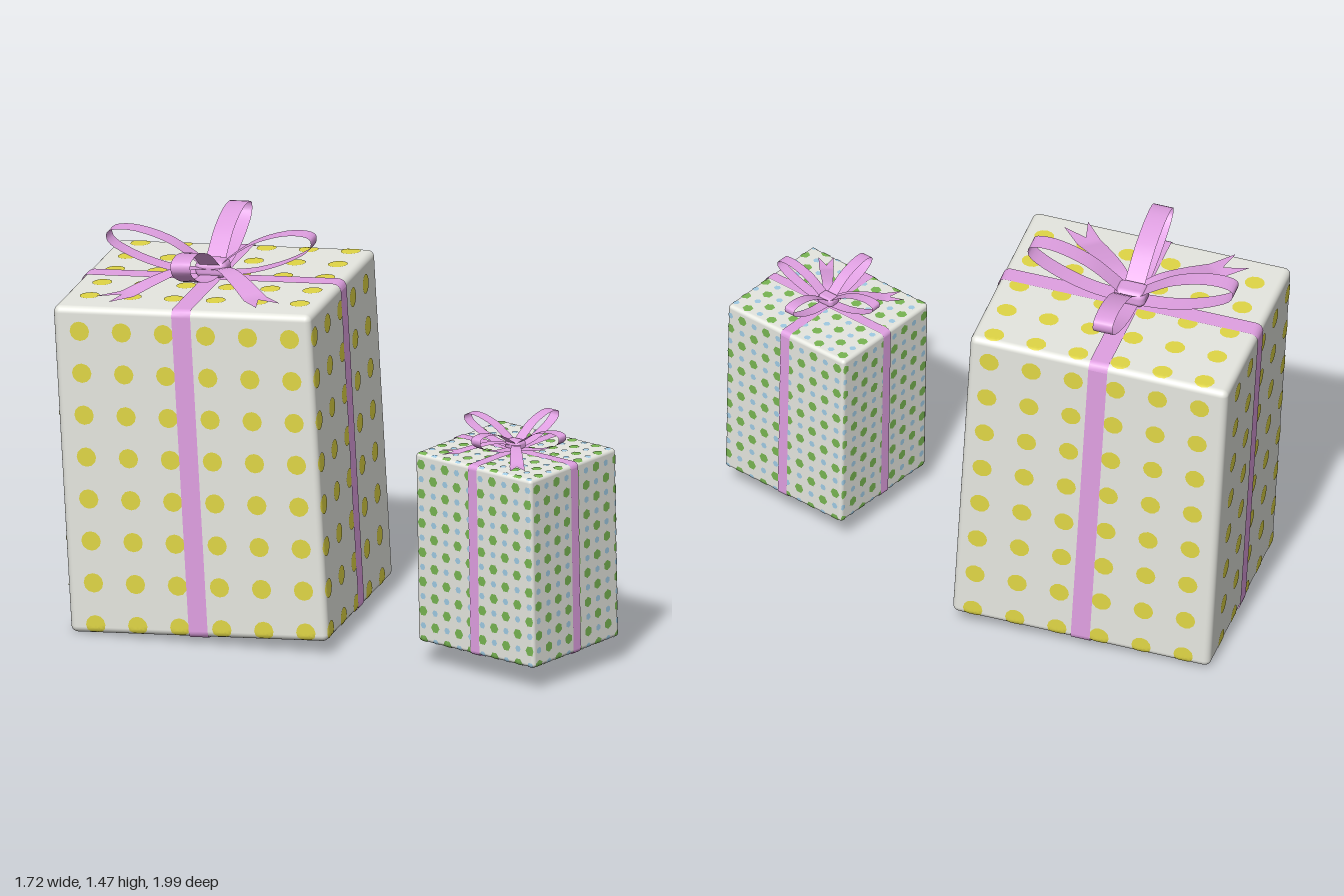
import * as THREE from 'three';
import { mergeGeometries } from 'three/addons/utils/BufferGeometryUtils.js';
import { RoundedBoxGeometry } from 'three/addons/geometries/RoundedBoxGeometry.js';

const material = (name, color, side = THREE.FrontSide) => {
  const m = new THREE.MeshStandardMaterial({ color, side });
  m.name = name;
  return m;
};

function addMesh(parent, name, geometry, mat) {
  const mesh = new THREE.Mesh(geometry, mat);
  mesh.name = name;
  parent.add(mesh);
  return mesh;
}

// Ribbon along a path in the XY plane, three vertices across its width (z).
// notch pulls the middle of the last row back, for a swallowtail end.
function strip(points, widthAt, notch = 0) {
  const pos = [], idx = [], n = points.length - 1;
  points.forEach((p, i) => {
    for (const s of [-1, 0, 1]) {
      const x = p.x - (i === n && s === 0 ? notch : 0);
      pos.push(x, p.y, s * widthAt(i / n) / 2);
    }
    if (i === n) return;
    for (let j = 0; j < 2; j++) {
      const a = i * 3 + j, b = a + 3;
      idx.push(a, b, a + 1, b, b + 1, a + 1);
    }
  });
  const g = new THREE.BufferGeometry();
  g.setAttribute('position', new THREE.Float32BufferAttribute(pos, 3));
  g.setIndex(idx);
  g.computeVertexNormals();
  return g;
}

const curve = (list, n) => new THREE.CatmullRomCurve3(
  list.map(([x, y]) => new THREE.Vector3(x, y, 0))).getPoints(n);

// Closed rounded rectangle path for a ribbon wrapped round the box
function wrapPath(w, h, r) {
  const pts = [];
  for (let c = 0; c < 4; c++) {
    const sx = c === 0 || c === 3 ? 1 : -1, sy = c < 2 ? 1 : -1;
    for (let i = 0; i <= 4; i++) {
      const a = (c + i / 4) * Math.PI / 2;
      pts.push(new THREE.Vector2(sx * (w / 2 - r) + r * Math.cos(a), sy * (h / 2 - r) + r * Math.sin(a)));
    }
  }
  pts.push(pts[0].clone());
  return pts;
}

// One painted dot, bent round the rounded edges of the box
function dot(half, r, axis, sign, centre, radius, sides) {
  const g = new THREE.RingGeometry(0, radius, sides, 3);
  const pos = g.attributes.position, nor = g.attributes.normal;
  const a = (axis + 1) % 3, b = (axis + 2) % 3;
  for (let i = 0; i < pos.count; i++) {
    const p = [0, 0, 0];
    p[axis] = sign * half[axis];
    p[a] = THREE.MathUtils.clamp(centre[a] + sign * pos.getX(i), -half[a], half[a]);
    p[b] = THREE.MathUtils.clamp(centre[b] + pos.getY(i), -half[b], half[b]);
    const q = p.map((v, k) => THREE.MathUtils.clamp(v, r - half[k], half[k] - r));
    const dir = new THREE.Vector3(...p).sub(new THREE.Vector3(...q)).normalize();
    nor.setXYZ(i, dir.x, dir.y, dir.z);
    pos.setXYZ(i, q[0] + dir.x * (r + 0.002), q[1] + dir.y * (r + 0.002), q[2] + dir.z * (r + 0.002));
  }
  return g;
}

// Grid of dots on all six faces; the kinds alternate like a chessboard
function addDots(parent, size, r, first, step, kinds) {
  const half = size.map(v => v / 2);
  const lists = kinds.map(() => []);
  const line = (k, flip) => {
    const out = [];
    for (let v = first[k]; v < size[k]; v += step) out.push(flip * (v - half[k]));
    return out;
  };
  for (let axis = 0; axis < 3; axis++) for (const sign of [-1, 1]) {
    const a = (axis + 1) % 3, b = (axis + 2) % 3;
    const flip = k => (k === 1 || (k === 2 && axis === 0) ? -1 : 1);
    line(a, flip(a)).forEach((u, i) => line(b, flip(b)).forEach((v, j) => {
      const c = [0, 0, 0], kind = (i + j) % kinds.length;
      c[a] = u;
      c[b] = v;
      lists[kind].push(dot(half, r, axis, sign, c, kinds[kind].radius, kinds[kind].sides));
    }));
  }
  kinds.forEach((k, i) => addMesh(parent, k.name, mergeGeometries(lists[i]), k.mat));
}

// Bow: four raised loops, two swallowtail ends and a knot
function makeBow(pink) {
  const bow = new THREE.Group();
  bow.name = 'bow';
  const loop = strip(curve([[0.02, 0.02], [0.16, 0.035], [0.31, 0.085], [0.385, 0.135], [0.385, 0.17],
    [0.31, 0.182], [0.17, 0.145], [0.08, 0.09], [0.02, 0.045]], 32), () => 0.075);
  for (let i = 0; i < 4; i++) addMesh(bow, 'bowLoop', loop, pink).rotation.y = i * Math.PI / 2;
  const path = curve([[0.02, 0.04], [0.12, 0.06], [0.24, 0.045], [0.37, 0.015]], 12);
  path.push(new THREE.Vector3(0.48, 0.018, 0));
  const tail = strip(path, t => 0.05 + 0.045 * t, 0.085);
  for (const s of [-1, 1]) addMesh(bow, 'bowTail', tail, pink).rotation.y = -Math.PI / 2 + s * 0.72;
  addMesh(bow, 'bowKnot', new RoundedBoxGeometry(0.12, 0.065, 0.09, 3, 0.025), pink).position.y = 0.04;
  return bow;
}

// Wrapped present, centred on its own origin
function makeGift(name, size, scale, paper, pink) {
  const gift = new THREE.Group();
  gift.name = name;
  const [w, h, d] = size, r = 0.025 * scale, e = 0.008;
  addMesh(gift, 'wrappedBox', new RoundedBoxGeometry(w, h, d, 4, r), paper);
  const width = () => 0.072 * scale;
  addMesh(gift, 'ribbonLengthwise', strip(wrapPath(w + e, h + e, r + e / 2), width), pink);
  addMesh(gift, 'ribbonCrosswise', strip(wrapPath(d + e, h + e, r + e / 2), width), pink).rotation.y = Math.PI / 2;
  const bow = makeBow(pink);
  bow.scale.setScalar(scale);
  bow.position.y = h / 2;
  gift.add(bow);
  return gift;
}

// Place a gift with a lean given by its up direction
function place(gift, position, up, turn) {
  const Y = new THREE.Vector3(0, 1, 0);
  gift.position.set(...position);
  gift.quaternion.setFromUnitVectors(Y, new THREE.Vector3(...up).normalize())
    .multiply(new THREE.Quaternion().setFromAxisAngle(Y, turn * Math.PI / 180));
}

export function createModel() {
  const group = new THREE.Group();
  group.name = 'gifts';
  const paper = material('white paper', 0xe6e7e0);
  const pink = material('pink ribbon', 0xe0a0e2, THREE.DoubleSide);
  const yellow = material('yellow dots', 0xe0d645);
  const green = material('green dots', 0x78b552);
  const blue = material('blue dots', 0xa0cbe4);

  const bigSize = [0.98, 1.245, 0.83];
  const big = makeGift('largeGift', bigSize, 1, paper, pink);
  addDots(big, bigSize, 0.025, [0.1, 0.09, 0.046], 0.16,
    [{ name: 'yellowDots', radius: 0.037, sides: 12, mat: yellow }]);
  place(big, [-0.208, 0.65, -0.36], [-0.045, 1, -0.03], -41);

  const smallSize = [0.55, 0.72, 0.485];
  const small = makeGift('smallGift', smallSize, 0.575, paper, pink);
  addDots(small, smallSize, 0.0144, [0.03, 0.04, 0.03], 0.056, [
    { name: 'greenDots', radius: 0.02, sides: 6, mat: green },
    { name: 'blueDots', radius: 0.013, sides: 6, mat: blue },
  ]);
  place(small, [0.517, 0.452, 0.64], [-0.016, 1, 0], -64);

  group.add(big, small);
  return group;
}
